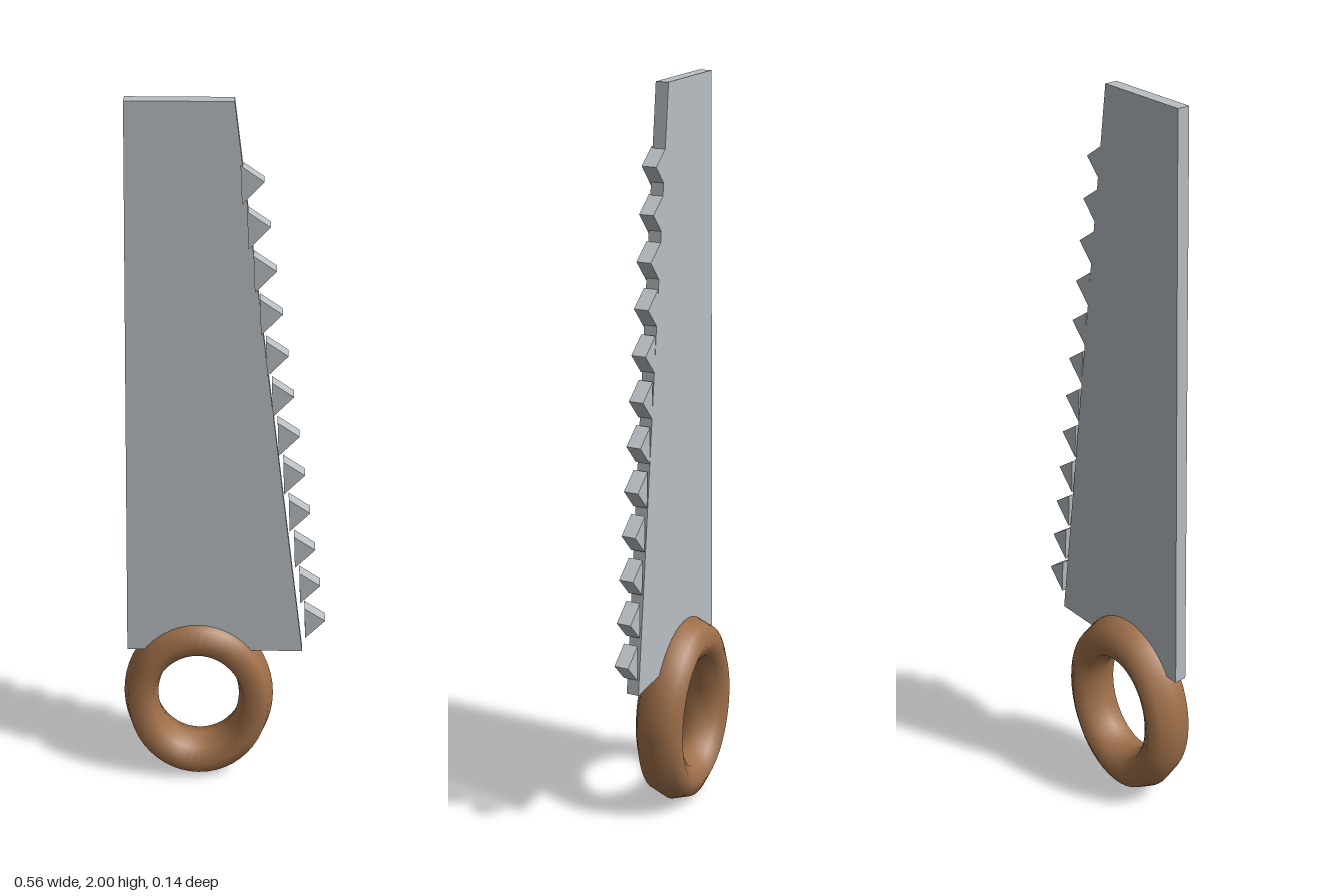
import * as THREE from 'three';

const steel = new THREE.MeshStandardMaterial({ name: 'steel', color: 0xb8bec2 });
const wood = new THREE.MeshStandardMaterial({ name: 'wood', color: 0xa0704a });

// Flat plate from an outline, rising from z = 0
function plate(name, points, depth) {
  const shape = new THREE.Shape(points.map(([x, y]) => new THREE.Vector2(x, y)));
  const geometry = new THREE.ExtrudeGeometry(shape, { depth, bevelEnabled: false });
  const mesh = new THREE.Mesh(geometry, steel);
  mesh.name = name;
  return mesh;
}

export function createModel() {
  const saw = new THREE.Group();
  saw.name = 'handSaw';

  // Tapering blade
  saw.add(plate('blade', [[-0.265, 0.44], [0.218, 0.44], [0.027, 2], [-0.232, 2]], 0.034));

  // Row of slightly thicker teeth, drifting away from the blade towards the handle
  const teeth = new THREE.Group();
  teeth.name = 'teeth';
  const count = 12;
  for (let i = 0; i < count; i++) {
    const t = i / (count - 1);
    const tooth = plate('tooth', [[0, 0], [-0.057, 0.04], [-0.053, -0.057]], 0.039);
    tooth.position.set(THREE.MathUtils.lerp(0.098, 0.278, t), THREE.MathUtils.lerp(1.806, 0.545, t), 0);
    teeth.add(tooth);
  }
  saw.add(teeth);

  // Oval ring handle with an eight-sided grip section
  const ring = new THREE.TorusGeometry(0.162, 0.048, 8, 48);
  ring.scale(1, 1.27, 1.46);
  const handle = new THREE.Mesh(ring, wood);
  handle.name = 'handle';
  handle.position.set(-0.07, 0.268, 0);
  saw.add(handle);

  return saw;
}
